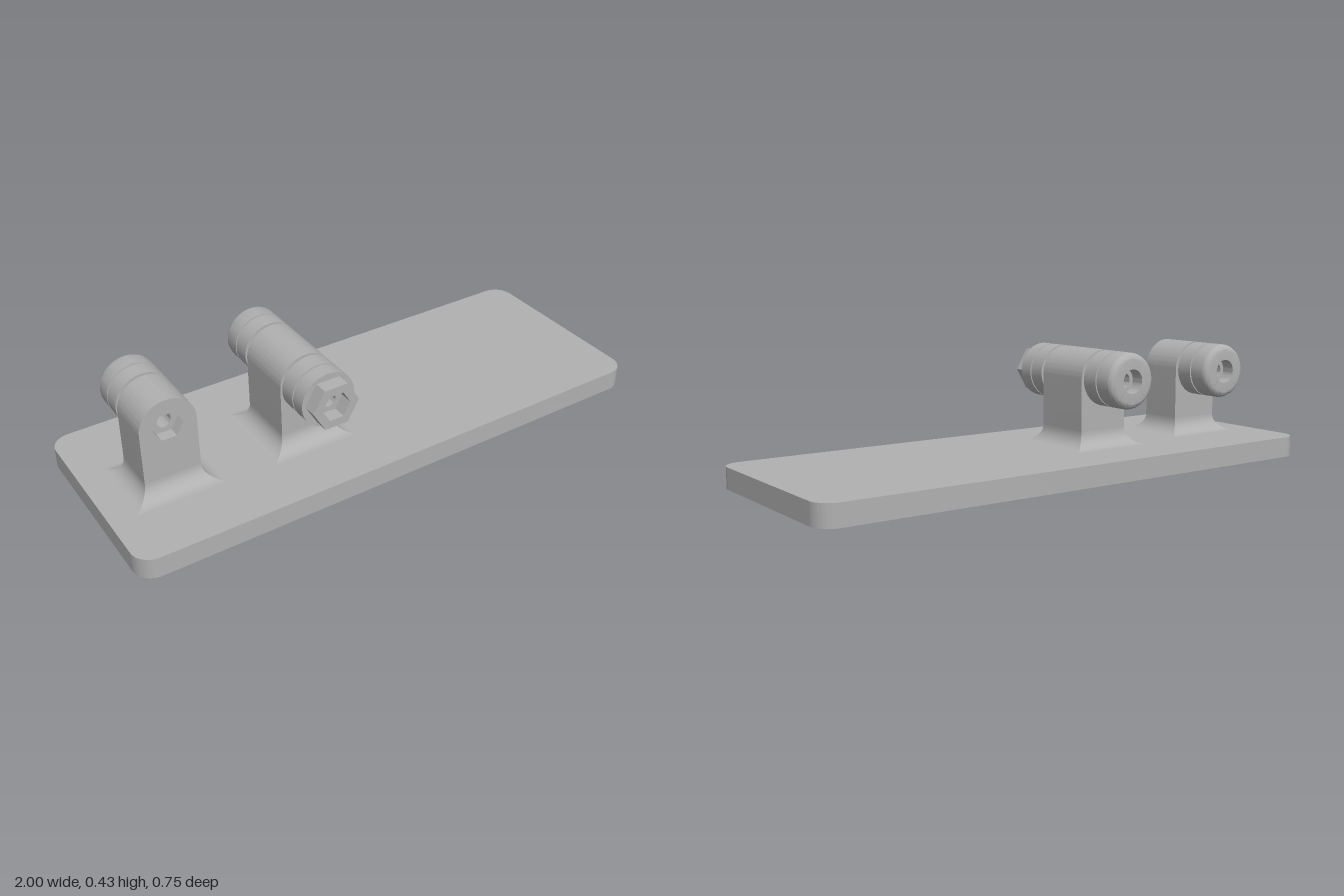
import * as THREE from 'three';
import { toCreasedNormals } from 'three/addons/utils/BufferGeometryUtils.js';

const PLATE_TOP = 0.075, AXIS_Y = 0.325, R = 0.1, NECK = 0.0625, BORE = 0.028;

export function createModel() {
  const model = new THREE.Group();
  const grey = new THREE.MeshStandardMaterial({ color: 0xb0b0b0 });
  grey.name = 'grey metal';

  const add = (parent, name, geometry, x = 0, y = 0, z = 0) => {
    const mesh = new THREE.Mesh(geometry, grey);
    mesh.name = name;
    mesh.position.set(x, y, z);
    parent.add(mesh);
    return mesh;
  };

  const extrude = (shape, depth) => toCreasedNormals(
    new THREE.ExtrudeGeometry(shape, { depth, bevelEnabled: false, curveSegments: 24 }), 0.6);

  // Hexagon with points on the left and right
  const hexPoints = (r) => Array.from({ length: 6 }, (_, i) =>
    new THREE.Vector2(r * Math.cos(i * Math.PI / 3), r * Math.sin(i * Math.PI / 3)));
  const hexHole = (r) => new THREE.Path(hexPoints(r));
  const roundHole = (r) => new THREE.Path().absarc(0, 0, r, 0, Math.PI * 2, true);

  // Upright outline with a rounded top, centred on the bore axis
  const archShape = (hole) => {
    const s = new THREE.Shape();
    s.moveTo(-R, PLATE_TOP - AXIS_Y);
    s.lineTo(R, PLATE_TOP - AXIS_Y);
    s.lineTo(R, 0);
    s.absarc(0, 0, R, 0, Math.PI, false);
    s.closePath();
    s.holes.push(hole);
    return s;
  };

  // Turned part around the z axis, profile as [radius, z] from back to front
  const turned = (profile) => {
    const pts = [...profile, profile[0]].map(([r, z]) => new THREE.Vector2(r, z));
    return toCreasedNormals(new THREE.LatheGeometry(pts, 48).rotateX(Math.PI / 2), 0.6);
  };

  // Concave flare around the foot of an upright, mitred at the corners
  const flare = (halfX, halfZ, r, steps = 10) => {
    const corners = [[1, 1], [1, -1], [-1, -1], [-1, 1]];
    const pos = [], index = [];
    for (let side = 0; side < 4; side++) {
      const base = pos.length / 3;
      for (let k = 0; k <= steps; k++) {
        const a = k / steps * Math.PI / 2;
        const out = r * (1 - Math.cos(a)), h = r * (1 - Math.sin(a));
        for (const [sx, sz] of [corners[side], corners[(side + 1) % 4]]) {
          pos.push(sx * (halfX + out), h, sz * (halfZ + out));
        }
        if (k < steps) {
          const i = base + k * 2;
          index.push(i, i + 2, i + 1, i + 1, i + 2, i + 3);
        }
      }
    }
    const g = new THREE.BufferGeometry();
    g.setAttribute('position', new THREE.Float32BufferAttribute(pos, 3));
    g.setIndex(index);
    g.computeVertexNormals();
    return g;
  };

  // Base plate with rounded corners
  const plate = new THREE.Shape();
  const c = 0.07, w = 1, d = 0.375;
  plate.absarc(w - c, d - c, c, 0, Math.PI / 2, false);
  plate.absarc(-w + c, d - c, c, Math.PI / 2, Math.PI, false);
  plate.absarc(-w + c, -d + c, c, Math.PI, Math.PI * 1.5, false);
  plate.absarc(w - c, -d + c, c, Math.PI * 1.5, Math.PI * 2, false);
  add(model, 'basePlate', extrude(plate, PLATE_TOP).rotateX(-Math.PI / 2));

  // Grooved rear knob with a rounded end and a counterbored hole, front at z = 0
  const knobProfile = () => {
    const end = -0.16, round = 0.025, bore = 0.043;
    const p = [[BORE, end + 0.05], [bore, end + 0.05], [bore, end]];
    for (let i = 0; i <= 8; i++) {
      const a = i / 8 * Math.PI / 2;
      p.push([R - round + round * Math.sin(a), end + round - round * Math.cos(a)]);
    }
    p.push([R, -0.082], [NECK, -0.082], [NECK, -0.076], [R, -0.076],
      [R, -0.0125], [NECK, -0.0125], [NECK, 0], [BORE, 0]);
    return p;
  };

  const addBracket = (name, x, zBack, zFront, recess) => {
    const bracket = new THREE.Group();
    bracket.name = name;
    bracket.position.x = x;
    model.add(bracket);
    const depth = zFront - zBack;
    add(bracket, 'upright', extrude(archShape(roundHole(BORE)), depth - recess), 0, AXIS_Y, zBack);
    if (recess > 0) {
      add(bracket, 'uprightHexFront', extrude(archShape(hexHole(0.053)), recess), 0, AXIS_Y, zFront - recess);
    }
    add(bracket, 'footFlare', flare(R, depth / 2, 0.06), 0, PLATE_TOP, (zBack + zFront) / 2);
    add(bracket, 'rearKnob', turned(knobProfile()), 0, AXIS_Y, zBack);
    return bracket;
  };

  // Short bracket with a hexagonal pocket in its face
  addBracket('sideBracket', -0.75, -0.065, 0.1, 0.04);

  // Long bracket with front collars and a hexagonal head
  const inner = addBracket('innerBracket', -0.25, -0.1125, 0.1125, 0);
  add(inner, 'frontCollars', turned([
    [BORE, 0], [NECK, 0], [NECK, 0.0125], [R, 0.0125], [R, 0.076], [NECK, 0.076],
    [NECK, 0.082], [R, 0.082], [R, 0.1375], [BORE, 0.1375],
  ]), 0, AXIS_Y, 0.1125);
  const head = new THREE.Shape(hexPoints(0.0866));
  head.holes.push(hexHole(0.053));
  add(inner, 'hexHead', extrude(head, 0.05), 0, AXIS_Y, 0.25);

  return model;
}
